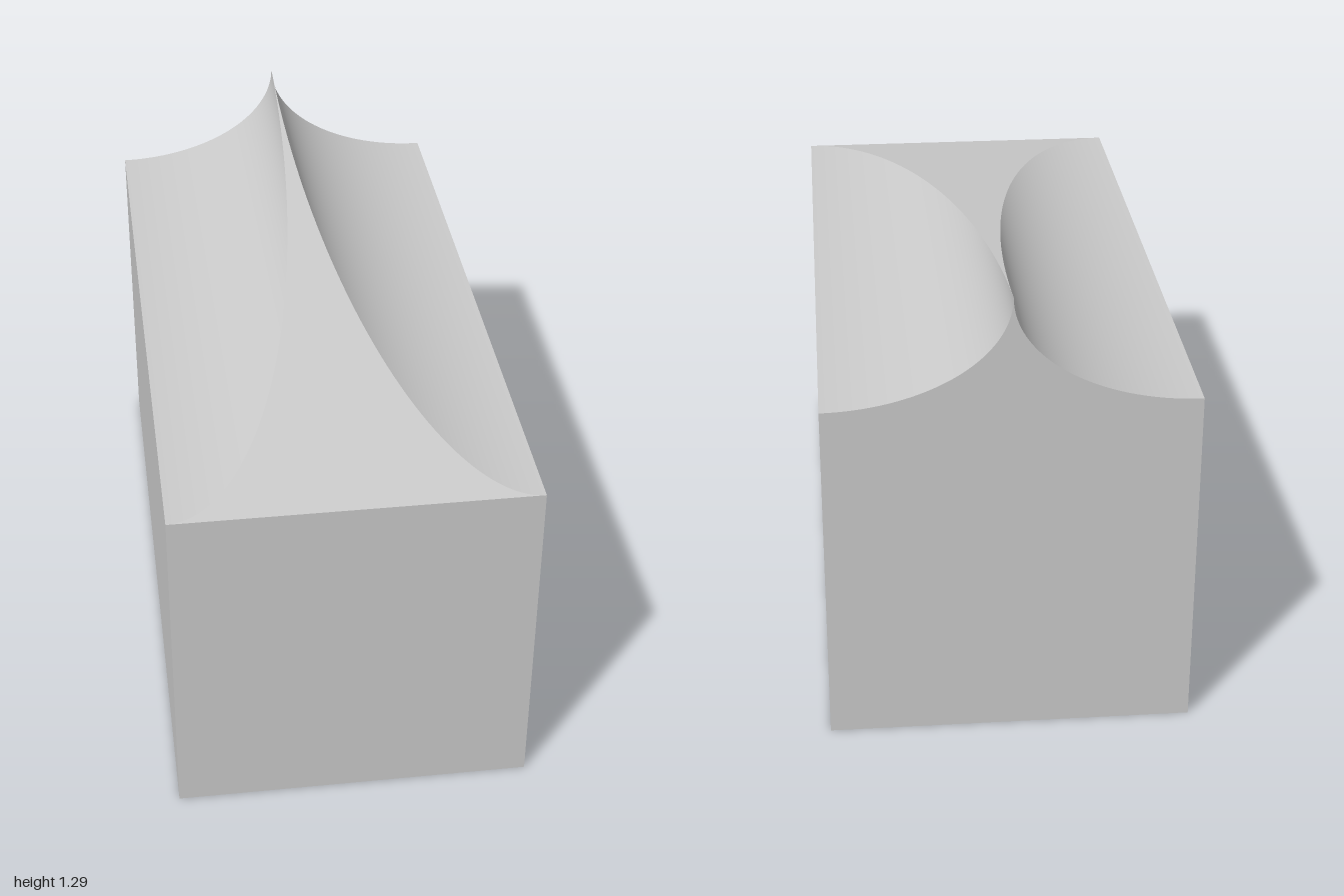
import * as THREE from 'three';
import { toCreasedNormals } from 'three/addons/utils/BufferGeometryUtils.js';

const WIDTH = 1, LENGTH = 2, WALL = 0.99, RISE = 0.305;

export function createModel() {
  const group = new THREE.Group();
  const material = new THREE.MeshStandardMaterial({ color: 0xcccccc });

  // Block without its top face, which the roof closes
  const blockGeometry = new THREE.BoxGeometry(WIDTH, WALL, LENGTH);
  const index = Array.from(blockGeometry.index.array);
  index.splice(12, 6);
  blockGeometry.setIndex(index);
  const block = new THREE.Mesh(blockGeometry, material);
  block.name = 'block';
  block.position.y = WALL / 2;
  group.add(block);

  // Roof profile: two concave quarter ellipses meeting in a sharp ridge
  const steps = 48;
  const rightHalf = [];
  for (let i = 0; i <= steps; i++) {
    const a = (i / steps) * Math.PI / 2;
    rightHalf.push(new THREE.Vector2(WIDTH / 2 * (1 - Math.sin(a)), RISE * (1 - Math.cos(a))));
  }
  const leftHalf = rightHalf.slice(0, -1).reverse().map(p => new THREE.Vector2(-p.x, p.y));
  const profile = new THREE.Shape([...rightHalf, ...leftHalf]);

  // Lean the front cap back into a flat slope from the front edge to the rear peak
  const roofGeometry = new THREE.ExtrudeGeometry(profile, { depth: LENGTH, bevelEnabled: false });
  roofGeometry.translate(0, 0, -LENGTH / 2);
  const pos = roofGeometry.attributes.position;
  for (let i = 0; i < pos.count; i++) {
    if (pos.getZ(i) > 0) pos.setZ(i, LENGTH / 2 - LENGTH * pos.getY(i) / RISE);
  }
  const roof = new THREE.Mesh(toCreasedNormals(roofGeometry, 0.1), material);
  roof.name = 'roof';
  roof.position.y = WALL;
  group.add(roof);

  return group;
}
